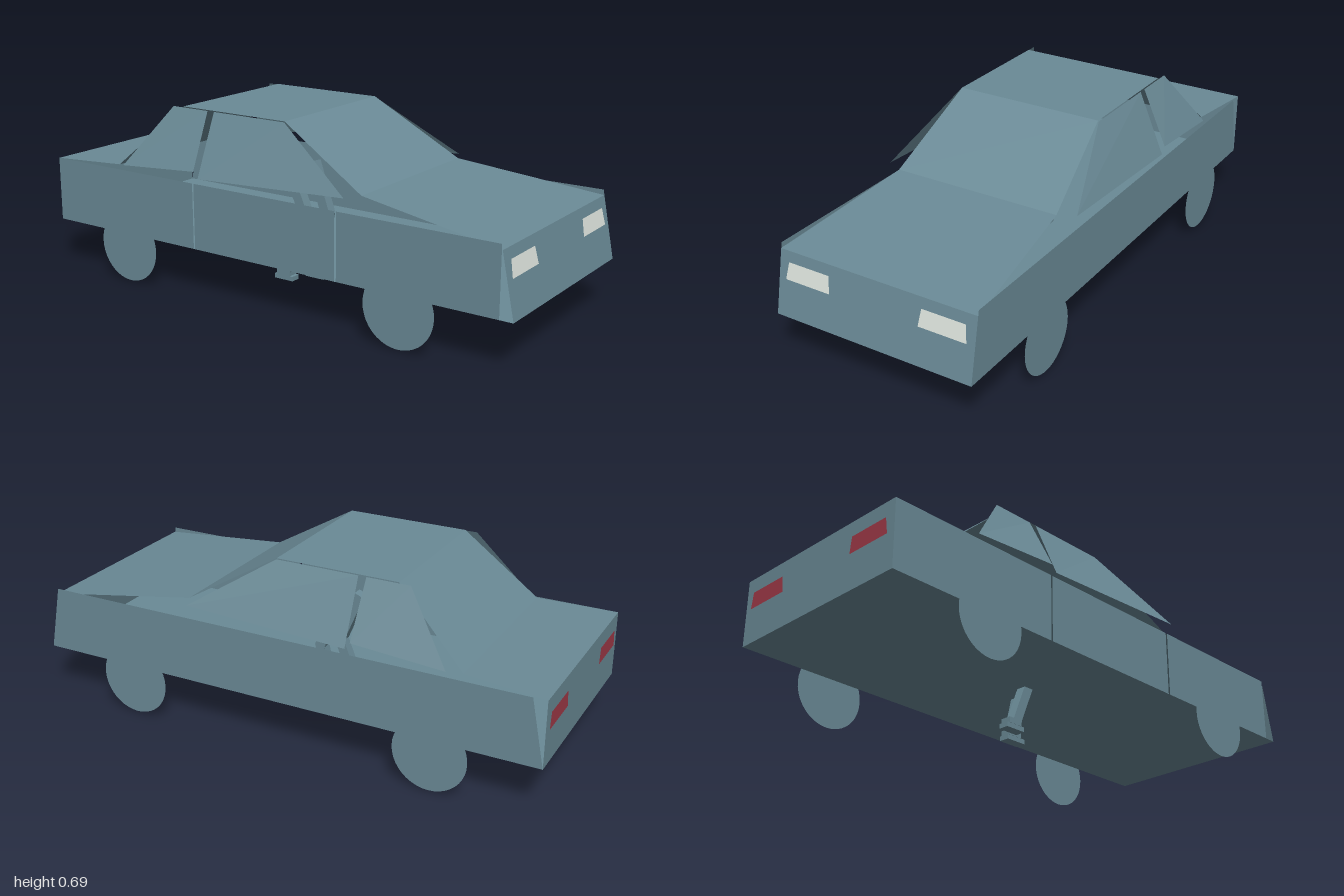
import * as THREE from 'three';

const body = new THREE.MeshStandardMaterial({ color: 0x6a8a96, side: THREE.DoubleSide, flatShading: true });
body.name = 'blue grey body';
const white = new THREE.MeshStandardMaterial({ color: 0xdde4dd, side: THREE.DoubleSide });
white.name = 'headlight white';
const red = new THREE.MeshStandardMaterial({ color: 0xa03a48, side: THREE.DoubleSide });
red.name = 'tail light red';

// Flat sheet through corners listed counter-clockwise as seen from outside
function sheet(name, corners, material = body) {
  const geo = new THREE.BufferGeometry();
  geo.setAttribute('position', new THREE.Float32BufferAttribute(corners.flat(), 3));
  const index = [];
  for (let i = 1; i < corners.length - 1; i++) index.push(0, i, i + 1);
  geo.setIndex(index);
  const flat = geo.toNonIndexed();
  flat.computeVertexNormals();
  const mesh = new THREE.Mesh(flat, material);
  mesh.name = name;
  return mesh;
}

// Sheet crossing the car from edge (x0, y0, half width w0) to edge (x1, y1, w1)
function crossSheet(name, [x0, y0, w0], [x1, y1, w1]) {
  return sheet(name, [[x0, y0, -w0], [x0, y0, w0], [x1, y1, w1], [x1, y1, -w1]]);
}

// Sheet on one side, from [x, y, |z|] corners in +z winding
function sideSheet(name, corners, side) {
  const c = corners.map(([x, y, z]) => [x, y, z * side]);
  return sheet(name, side > 0 ? c : c.reverse());
}

// Square bar between two points
function bar(name, a, b, thick) {
  const from = new THREE.Vector3(...a), to = new THREE.Vector3(...b);
  const mesh = new THREE.Mesh(new THREE.BoxGeometry(thick, from.distanceTo(to), thick), body);
  mesh.position.copy(from).lerp(to, 0.5);
  mesh.quaternion.setFromUnitVectors(new THREE.Vector3(0, 1, 0), to.sub(from).normalize());
  mesh.name = name;
  return mesh;
}

export function createModel() {
  const car = new THREE.Group();
  car.name = 'car';
  const W = 0.393, floorY = 0.18, beltY = 0.43;

  // Shell across the car, nose to tail
  const line = [
    [1, floorY, W], [0.953, 0.41, W], [0.39, 0.48, 0.33], [0.04, 0.685, 0.29],
    [-0.43, 0.685, 0.29], [-0.7, 0.44, 0.362], [-1, beltY, W], [-1, floorY, W],
  ];
  const names = ['nosePanel', 'hood', 'windshield', 'roof', 'rearWindow', 'trunkLid', 'tailPanel'];
  names.forEach((n, i) => {
    // corner order runs from the low z edge so normals face out
    const [a, b] = [line[i + 1], line[i]];
    car.add(crossSheet(n, a, b));
  });
  car.add(crossSheet('floor', [1, floorY, W], [-1, floorY, W]));

  // Left flank in three panels
  const rect = (x0, x1) => [[x0, floorY, W], [x1, floorY, W], [x1, beltY, W], [x0, beltY, W]];
  [['rearQuarter', -1, -0.307], ['door', -0.301, 0.322], ['frontFender', 0.33, 0.95]].forEach(([n, a, b]) =>
    car.add(sideSheet(n, rect(a, b), 1)));

  // Opposite flank in one panel with raked ends
  car.add(sideSheet('farFlank', [[-1, floorY, W], [1, floorY, W], [0.95, beltY, W], [-0.95, beltY, W]], -1));

  for (const side of [1, -1]) {
    // Side windows, leaning in to the roof
    car.add(sideSheet('rearSideWindow',
      [[-0.65, 0.45, W], [-0.3, 0.475, W], [-0.31, 0.682, 0.293], [-0.475, 0.682, 0.293]], side));
    car.add(sideSheet('frontSideWindow',
      [[-0.28, 0.45, W], [0.36, 0.48, W], [0.04, 0.682, 0.293], [-0.28, 0.682, 0.293]], side));

    // Disc wheels
    for (const x of [-0.613, 0.593]) {
      const wheel = new THREE.Mesh(new THREE.CircleGeometry(0.138, 40), body);
      wheel.position.set(x, 0.142, 0.417 * side);
      if (side < 0) wheel.rotation.y = Math.PI;
      wheel.name = 'wheel';
      car.add(wheel);
    }

    // Lamps laid just proud of the nose and tail
    const lamp = [[0.312, 0.178], [0.312, 0.362], [0.373, 0.353], [0.373, 0.186]];
    const noseX = (y) => 1.003 - (0.047 * (y - floorY)) / 0.23;
    const head = lamp.map(([y, z]) => [noseX(y), y, z * side]);
    const tail = lamp.map(([y, z]) => [-1.003, y, z * side]);
    car.add(sheet('headlight', side < 0 ? head : head.reverse(), white));
    car.add(sheet('tailLight', side > 0 ? tail : tail.reverse(), red));

    // Legs reaching through the floor, one a step ahead
    const z = 0.042 * side, shift = side > 0 ? -0.075 : 0;
    const leg = new THREE.Group();
    leg.name = 'leg';
    leg.add(bar('shin', [-0.065 + shift, 0.02, z], [-0.005 + shift * 0.5, 0.27, z], 0.038));
    leg.add(bar('thigh', [-0.005 + shift * 0.5, 0.26, z], [-0.075 + shift * 0.7, 0.46, z], 0.04));
    const sole = new THREE.Mesh(new THREE.BoxGeometry(0.085, 0.018, 0.04), body);
    sole.position.set(-0.057 + shift * 1.15, 0.009, z);
    sole.name = 'sole';
    const foot = new THREE.Mesh(new THREE.BoxGeometry(0.06, 0.022, 0.042), body);
    foot.position.set(-0.062 + shift * 1.1, 0.029, z);
    foot.name = 'foot';
    leg.add(sole, foot);
    car.add(leg);
  }
  return car;
}
